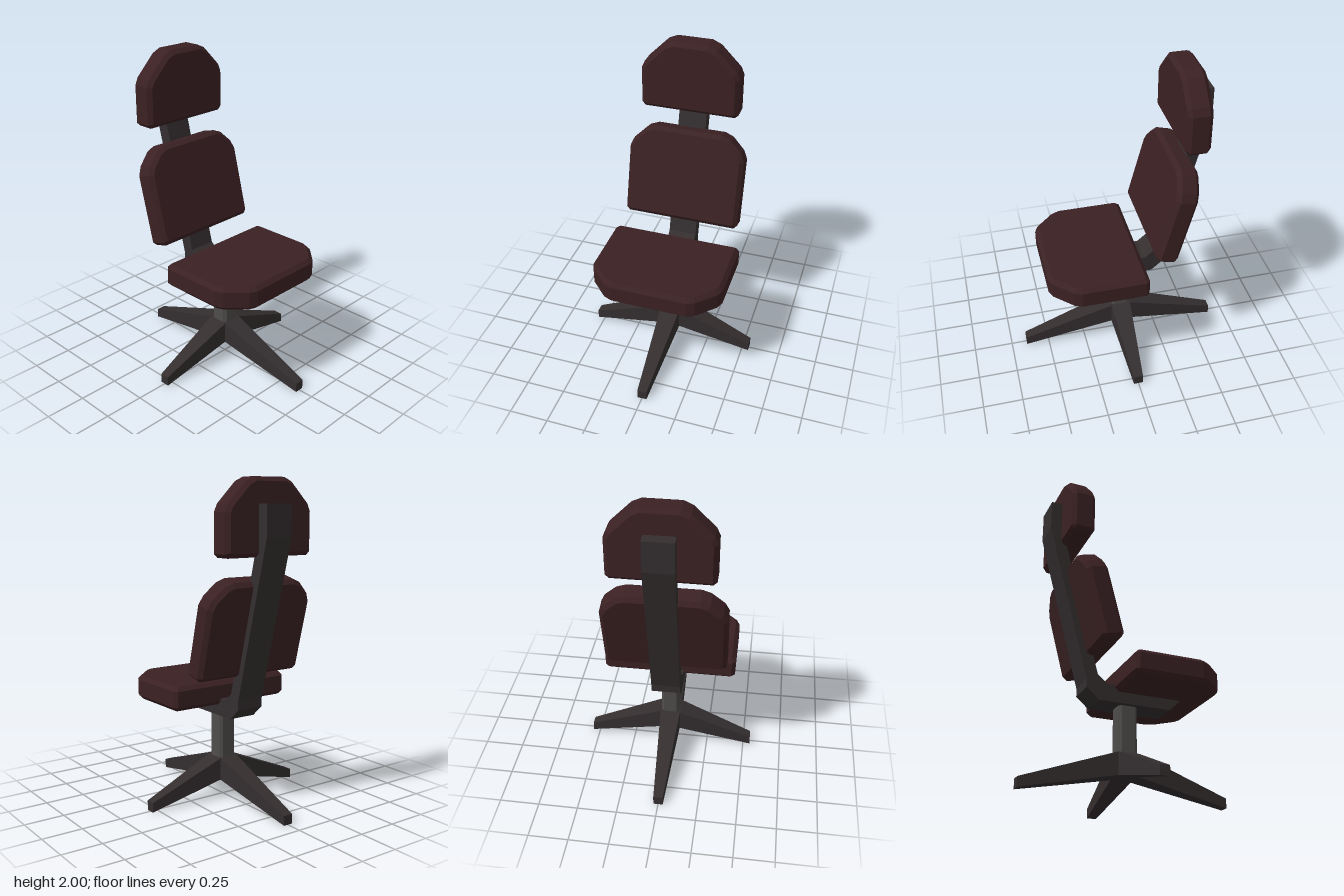
import * as THREE from 'three';

const makeMaterial = (name, color) => {
  const m = new THREE.MeshStandardMaterial({ color });
  m.name = name;
  return m;
};

// Polygon symmetric about the vertical axis, from its right-hand points (bottom to top)
function mirroredShape(half) {
  const pts = half.map(([u, v]) => new THREE.Vector2(u, v));
  const other = half.map(([u, v]) => new THREE.Vector2(-u, v)).reverse();
  return new THREE.Shape([...pts, ...other]);
}

// Bevelled slab: outline in (z, y), thickness along x, then tilted about z
function cushion(name, half, thickness, tilt, position, material) {
  const bevel = 0.025;
  const depth = thickness - 2 * bevel;
  const g = new THREE.ExtrudeGeometry(mirroredShape(half), {
    depth, bevelEnabled: true, bevelThickness: bevel, bevelSize: bevel,
    bevelOffset: -bevel, bevelSegments: 1,
  });
  g.translate(0, 0, -depth / 2).rotateY(Math.PI / 2).rotateZ(tilt);
  const mesh = new THREE.Mesh(g, material);
  mesh.name = name;
  mesh.position.set(...position);
  return mesh;
}

// Tapered, sloping leg running outward along +x
function legGeometry(reach) {
  const g = new THREE.BoxGeometry(1, 1, 1).toNonIndexed();
  const p = g.attributes.position;
  for (let i = 0; i < p.count; i++) {
    const tip = p.getX(i) > 0;
    const top = p.getY(i) > 0;
    const side = Math.sign(p.getZ(i));
    if (tip) p.setXYZ(i, reach, top ? 0.06 : 0, side * 0.03);
    else p.setXYZ(i, 0.065, top ? 0.26 : 0.12, side * 0.065);
  }
  g.computeVertexNormals();
  return g;
}

export function createModel() {
  const leather = makeMaterial('dark red leather', 0x3b2123);
  const frame = makeMaterial('dark frame', 0x342e2f);
  const metal = makeMaterial('grey metal', 0x4f4d4b);

  const model = new THREE.Group();
  model.name = 'officeChair';
  const add = (name, geometry, material) => {
    const mesh = new THREE.Mesh(geometry, material);
    mesh.name = name;
    model.add(mesh);
    return mesh;
  };

  // Four-legged base, longer along x than along z
  add('baseHub', new THREE.BoxGeometry(0.13, 0.14, 0.13).translate(0, 0.19, 0), frame);
  for (let i = 0; i < 4; i++) {
    add('baseLeg', legGeometry(i % 2 ? 0.545 : 0.65), frame).rotation.y = i * Math.PI / 2;
  }

  // Square post with chamfered edges
  const post = mirroredShape([[0.042, -0.06], [0.06, -0.042], [0.06, 0.042], [0.042, 0.06]]);
  add('post', new THREE.ExtrudeGeometry(post, { depth: 0.33, bevelEnabled: false })
    .rotateX(-Math.PI / 2).translate(0, 0.24, 0), metal);

  // Bent spine, from under the seat up to the headrest
  const spine = new THREE.Shape([
    [-0.54, 1.85], [-0.54, 1.66], [-0.28, 0.67], [-0.28, 0.62], [-0.2, 0.55],
    [0.26, 0.55], [0.34, 0.63], [0.34, 0.66], [-0.15, 0.66], [-0.21, 0.71],
    [-0.46, 1.66], [-0.46, 1.85],
  ].map(([x, y]) => new THREE.Vector2(x, y)));
  add('spine', new THREE.ExtrudeGeometry(spine, { depth: 0.18, bevelEnabled: false })
    .translate(0, 0, -0.09), frame);

  // Upholstery
  model.add(
    cushion('seat', [
      [0.398, -0.303], [0.42, -0.281], [0.42, 0.12], [0.4, 0.17], [0.29, 0.282], [0.24, 0.303],
    ], 0.15, -Math.PI / 2, [0.202, 0.695, 0], leather),
    cushion('backrest', [
      [0.353, -0.3], [0.375, -0.278], [0.375, 0.15], [0.35, 0.205], [0.275, 0.28], [0.22, 0.302],
    ], 0.14, 0.253, [-0.287, 1.127, 0], leather),
    cushion('headrest', [
      [0.288, -0.225], [0.31, -0.203], [0.31, 0.03], [0.29, 0.075], [0.165, 0.2], [0.11, 0.225],
    ], 0.15, 0, [-0.395, 1.775, 0], leather),
  );

  return model;
}
